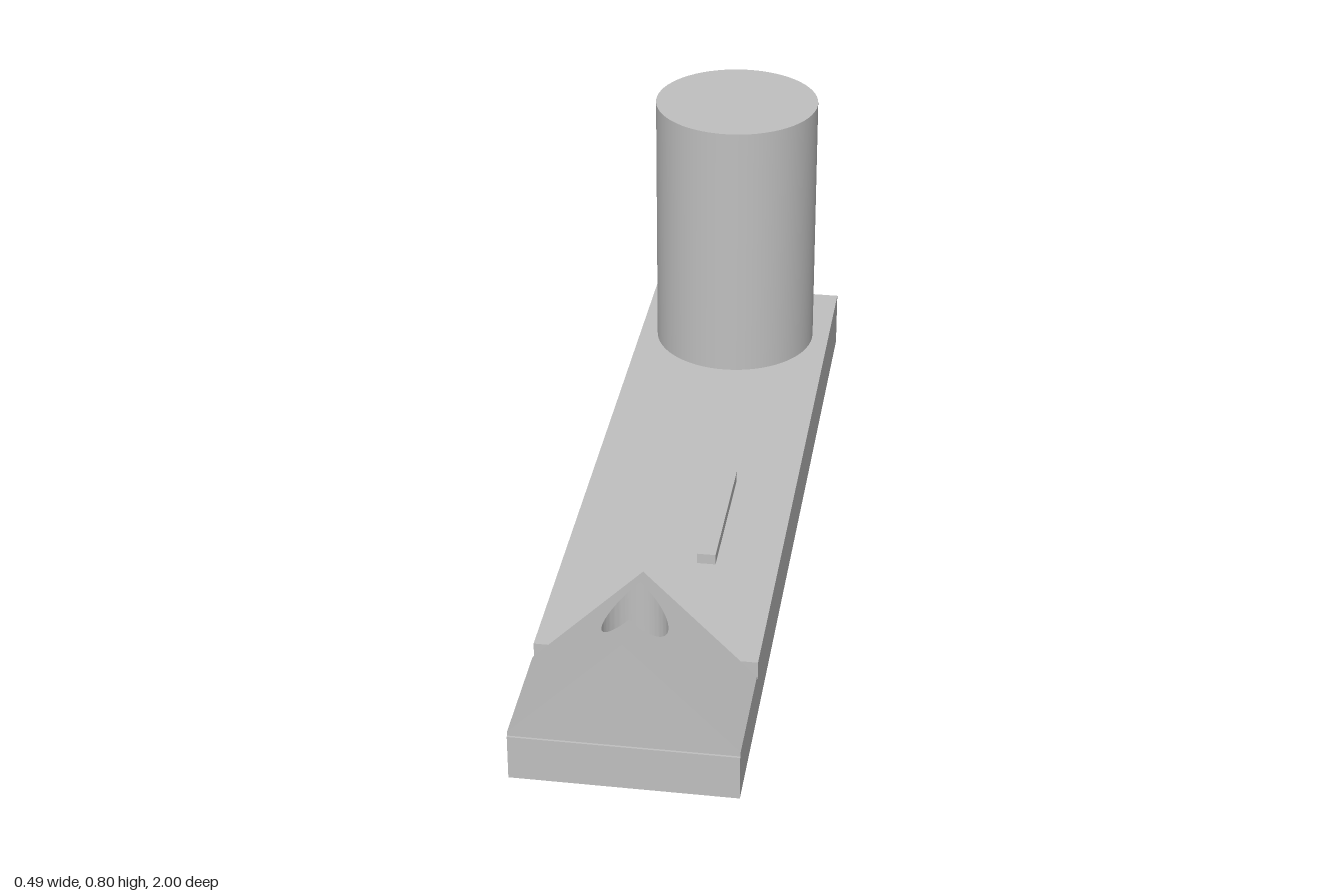
import * as THREE from 'three';
import { mergeGeometries, toCreasedNormals } from 'three/addons/utils/BufferGeometryUtils.js';

const HALF_WIDTH = 0.245;
const HOLE_RADIUS = 0.07;
const FRONT_HOLE_Z = 0.835;
const POST_Z = -0.757;
const STEP_Z = 0.71;
const STEP_Y = 0.105;
const BASE_Y = 0.14;
const RIDGE_Y = 0.36;

// Extrudes a plan outline (x, -z) upwards from y0 to y1.
function extrudeUp(shape, y0, y1) {
  const geometry = new THREE.ExtrudeGeometry(shape, { depth: y1 - y0, bevelEnabled: false, curveSegments: 32 });
  return geometry.rotateX(-Math.PI / 2).translate(0, y0, 0);
}

// Rectangular slab with a round vertical hole.
function drilledSlab(z0, z1, height, holeZ) {
  const shape = new THREE.Shape([
    new THREE.Vector2(-HALF_WIDTH, -z1), new THREE.Vector2(HALF_WIDTH, -z1),
    new THREE.Vector2(HALF_WIDTH, -z0), new THREE.Vector2(-HALF_WIDTH, -z0),
  ]);
  shape.holes.push(new THREE.Path().absarc(0, -holeZ, HOLE_RADIUS, 0, Math.PI * 2, true));
  return toCreasedNormals(extrudeUp(shape, 0, height), 0.5);
}

// One side of the gabled block, notched by half of the hole; side is 1 or -1.
function gableHalf(side) {
  const z0 = 0.725, z1 = 0.995;
  const shape = new THREE.Shape();
  shape.moveTo(0, -z1);
  shape.lineTo(side * HALF_WIDTH, -z1);
  shape.lineTo(side * HALF_WIDTH, -z0);
  shape.lineTo(0, -z0);
  shape.lineTo(0, -FRONT_HOLE_Z + HOLE_RADIUS);
  shape.absarc(0, -FRONT_HOLE_Z, HOLE_RADIUS, Math.PI / 2, side > 0 ? -Math.PI / 2 : Math.PI * 1.5, side > 0);
  shape.closePath();
  const p = extrudeUp(shape, STEP_Y, RIDGE_Y).attributes.position;

  // Slope the top at 45 degrees and leave out the inner wall on the centre plane.
  const kept = [];
  for (let i = 0; i < p.count; i += 3) {
    const corners = [i, i + 1, i + 2];
    if (corners.every((c) => Math.abs(p.getX(c)) < 1e-5)) continue;
    for (const c of corners) {
      const x = p.getX(c);
      kept.push(x, p.getY(c) > 0.2 ? RIDGE_Y - Math.abs(x) : STEP_Y, p.getZ(c));
    }
  }
  const geometry = new THREE.BufferGeometry();
  geometry.setAttribute('position', new THREE.Float32BufferAttribute(kept, 3));
  return geometry;
}

export function createModel() {
  const group = new THREE.Group();
  group.name = 'drilledBaseWithPost';
  const grey = new THREE.MeshStandardMaterial({ color: 0xbfbfbf });
  grey.name = 'plainGrey';

  const add = (name, geometry, x = 0, y = 0, z = 0) => {
    const mesh = new THREE.Mesh(geometry, grey);
    mesh.name = name;
    mesh.position.set(x, y, z);
    group.add(mesh);
  };

  // Long base with a lower step at the front
  add('base', drilledSlab(-1, STEP_Z, BASE_Y, POST_Z));
  add('frontStep', drilledSlab(STEP_Z, 1, STEP_Y, FRONT_HOLE_Z));

  // Gabled block with a vertical hole through its ridge
  add('gabledBlock', toCreasedNormals(mergeGeometries([gableHalf(1), gableHalf(-1)]), 0.5));

  // Round post at the back
  const postHeight = 0.797 - BASE_Y;
  add('post', new THREE.CylinderGeometry(0.203, 0.203, postHeight, 64), 0, BASE_Y + postHeight / 2, POST_Z);

  // Small raised bar, left of centre
  add('raisedBar', new THREE.BoxGeometry(0.042, 0.025, 0.365), 0.081, BASE_Y + 0.0125, 0.1625);

  return group;
}
